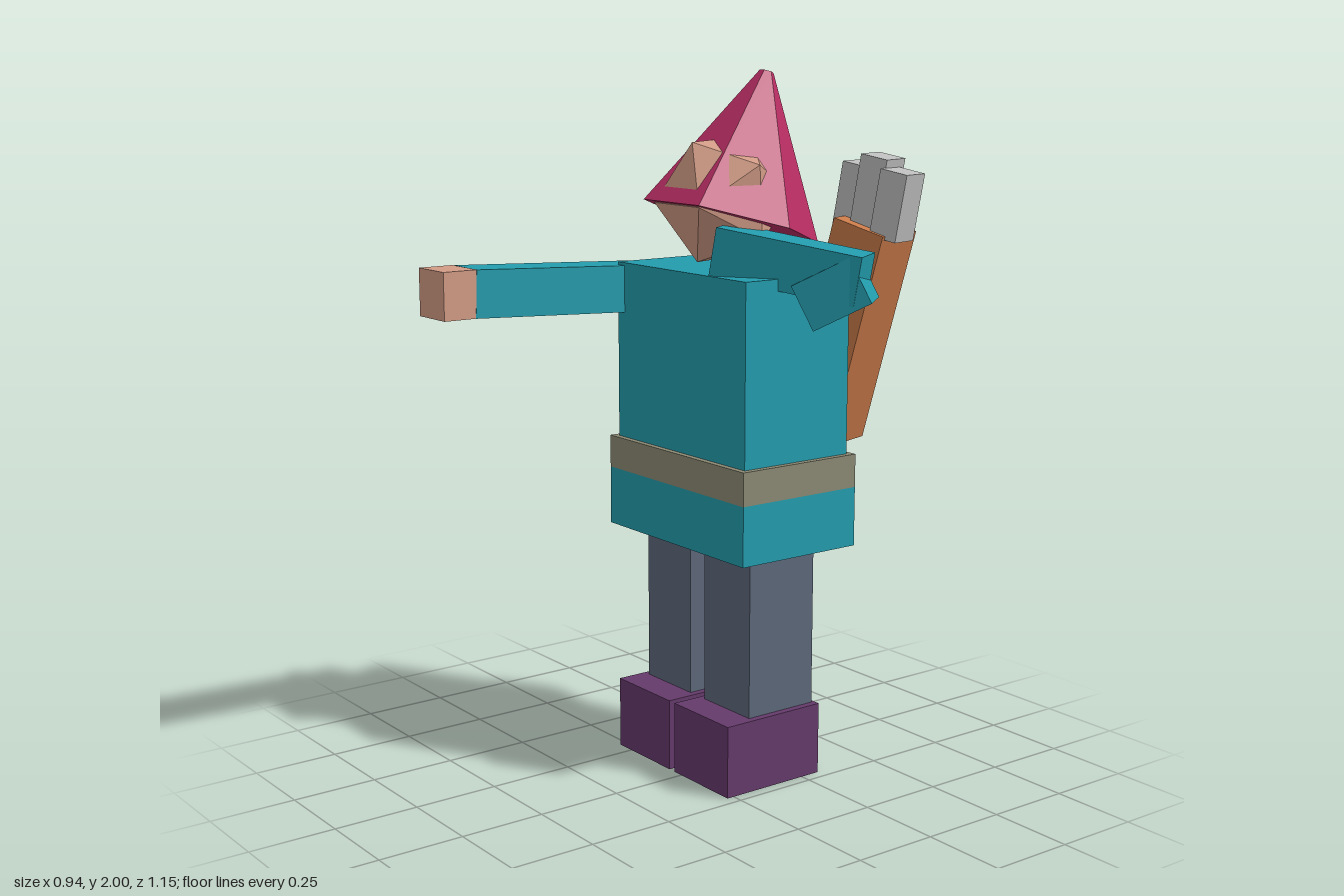
import * as THREE from 'three';

const paint = (name, color) => {
  const m = new THREE.MeshStandardMaterial({ color });
  m.name = name;
  return m;
};

export function createModel() {
  const teal = paint('teal tunic', 0x239cad);
  const crimson = paint('crimson hood', 0xb92e64);
  const purple = paint('purple shoes', 0x653a6b);
  const slate = paint('slate trousers', 0x5e687a);
  const khaki = paint('khaki belt', 0x8c8a74);
  const skin = paint('skin', 0xd29c86);
  const tan = paint('tan leather', 0xc97b49);
  const grey = paint('grey arrows', 0xbebebe);

  const model = new THREE.Group();
  const add = (name, geometry, material) => {
    const mesh = new THREE.Mesh(geometry, material);
    mesh.name = name;
    model.add(mesh);
    return mesh;
  };

  // Upright box given by its extents
  const block = (name, material, [x0, x1], [y0, y1], [z0, z1]) => {
    const mesh = add(name, new THREE.BoxGeometry(x1 - x0, y1 - y0, z1 - z0), material);
    mesh.position.set((x0 + x1) / 2, (y0 + y1) / 2, (z0 + z1) / 2);
    return mesh;
  };

  // Box running from a to b; its width lies nearest to the side direction
  const beam = (name, material, a, b, width, depth, side) => {
    const start = new THREE.Vector3(...a), end = new THREE.Vector3(...b);
    const y = end.clone().sub(start);
    const length = y.length();
    y.normalize();
    const z = new THREE.Vector3(...side).cross(y).normalize();
    const x = y.clone().cross(z);
    const mesh = add(name, new THREE.BoxGeometry(width, length, depth), material);
    mesh.quaternion.setFromRotationMatrix(new THREE.Matrix4().makeBasis(x, y, z));
    mesh.position.copy(start).add(end).multiplyScalar(0.5);
    return mesh;
  };

  // Legs and shoes
  for (const [label, x] of [['right', -0.182], ['left', 0.093]]) {
    block(label + 'Shoe', purple, [x - 0.125, x + 0.125], [0, 0.21], [-0.31, 0.022]);
    block(label + 'Leg', slate, [x - 0.104, x + 0.104], [0.21, 0.68], [-0.3, -0.07]);
  }

  // Tunic, belt and the hood's shoulder flap
  block('tunicSkirt', teal, [-0.36, 0.27], [0.68, 0.85], [-0.388, 0.013]);
  block('belt', khaki, [-0.36, 0.27], [0.85, 0.945], [-0.388, 0.013]);
  block('torso', teal, [-0.34, 0.252], [0.945, 1.457], [-0.37, -0.005]);
  block('hoodFlap', crimson, [-0.307, 0.222], [1.255, 1.517], [-0.392, -0.33]);

  // Right arm stretched forward
  beam('rightArm', teal, [-0.365, 1.373, -0.195], [-0.403, 1.4, 0.468], 0.135, 0.135, [1, 0, 0]);
  block('rightHand', skin, [-0.471, -0.336], [1.333, 1.468], [0.468, 0.574]);

  // Left arm bent back toward the quiver
  beam('leftUpperArm', teal, [0.058, 1.523, -0.07], [0.4, 1.457, -0.292], 0.135, 0.135, [0.55, 0, 0.83]);
  beam('leftForearm', teal, [0.276, 1.382, -0.196], [0.396, 1.462, -0.296], 0.14, 0.135, [0.64, 0, 0.77]);

  // Faceted head tipped back inside the hood
  const head = add('head', new THREE.IcosahedronGeometry(0.195, 0), skin);
  head.rotation.x = -1.517;
  head.position.set(-0.043, 1.65, -0.16);

  // Six-sided pointed hood, leaning back
  const hoodShape = new THREE.CylinderGeometry(0.02, 0.255, 0.43, 6, 1, false, Math.PI / 6);
  hoodShape.translate(0, 0.215, 0);
  const hoodFaces = hoodShape.toNonIndexed();
  hoodFaces.computeVertexNormals();
  const hood = add('hood', hoodFaces, crimson);
  hood.rotation.x = -0.29;
  hood.position.set(-0.043, 1.586, -0.187);

  // Slanted quiver and three arrow bundles
  const across = [0.963, -0.26, -0.27];
  beam('quiver', tan, [0.075, 0.975, -0.435], [0.24, 1.582, -0.473], 0.165, 0.175, across);
  const arrows = [[0.19, 1.748, 1.55], [0.265, 1.772, 1.55], [0.345, 1.735, 1.55]];
  arrows.forEach(([x, top, bottom], i) => {
    const lean = (top - bottom) * 0.17;
    beam('arrow' + (i + 1), grey, [x - lean, bottom, -0.465], [x, top, -0.475], 0.085, 0.095, [0.963, -0.17, -0.27]);
  });

  return model;
}
